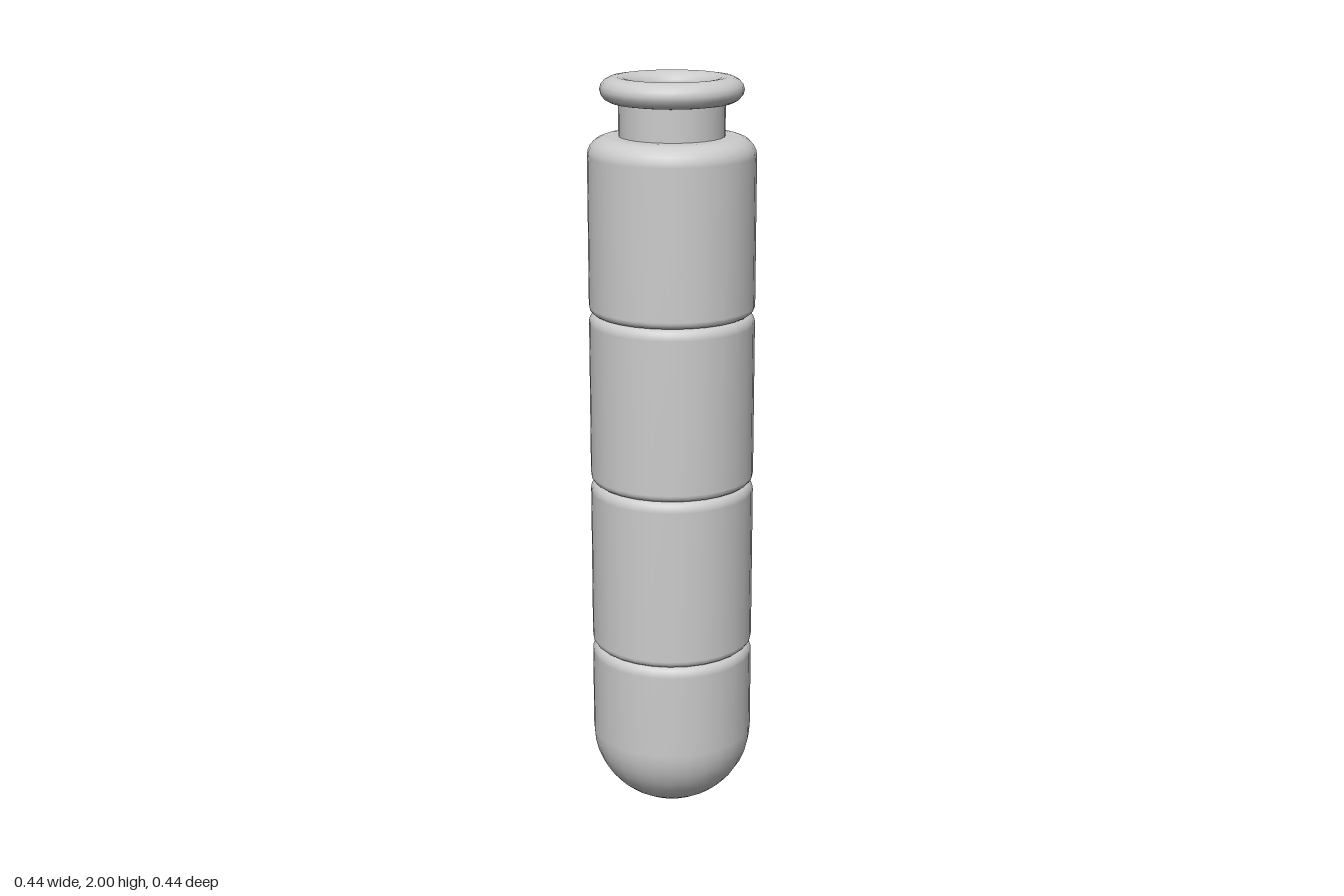
import * as THREE from 'three';

const SIDES = 28;
const RADIUS = 0.218;

export function createModel() {
  const group = new THREE.Group();
  const material = new THREE.MeshStandardMaterial({ color: 0xcccccc });

  const add = (name, geometry, y = 0) => {
    const mesh = new THREE.Mesh(geometry, material);
    mesh.name = name;
    mesh.position.y = y;
    group.add(mesh);
    return mesh;
  };

  // Quarter ellipse of profile points around (cx, cy)
  const arc = (cx, cy, rx, ry, from, to, steps) =>
    Array.from({ length: steps + 1 }, (_, i) => {
      const a = from + ((to - from) * i) / steps;
      return new THREE.Vector2(Math.max(0, cx + rx * Math.cos(a)), cy + ry * Math.sin(a));
    });

  // Closed round body: bottom and top edges are rounded by their own radii
  const body = (y0, y1, bottomX, bottomY, topX, topY) => {
    const points = [
      ...arc(RADIUS - bottomX, y0 + bottomY, bottomX, bottomY, -Math.PI / 2, 0, bottomX > 0.1 ? 10 : 4),
      ...arc(RADIUS - topX, y1 - topY, topX, topY, 0, Math.PI / 2, 6),
    ];
    if (points[0].x > 0) points.unshift(new THREE.Vector2(0, y0));
    points.push(new THREE.Vector2(0, y1));
    return new THREE.LatheGeometry(points, SIDES);
  };

  // Domed base, two plain segments and a shouldered top segment
  const joints = [0, 0.465, 0.93, 1.39, 1.85];
  add('domedBase', body(joints[0], joints[1], RADIUS, 0.21, 0.022, 0.028));
  for (let i = 1; i < 3; i++) {
    add(`bodySegment${i}`, body(joints[i], joints[i + 1], 0.018, 0.02, 0.022, 0.028));
  }
  add('shoulderSegment', body(joints[3], joints[4], 0.018, 0.02, 0.055, 0.05));

  // Solid neck, whose top is the floor seen inside the rim
  add('neck', new THREE.CylinderGeometry(0.137, 0.137, 0.11, SIDES), 1.895);

  // Rounded rim, slightly flattened
  const rim = new THREE.TorusGeometry(0.1425, 0.0425, 16, SIDES);
  rim.rotateX(Math.PI / 2);
  rim.scale(1, 0.78, 1);
  add('rim', rim, 1.967);

  return group;
}
